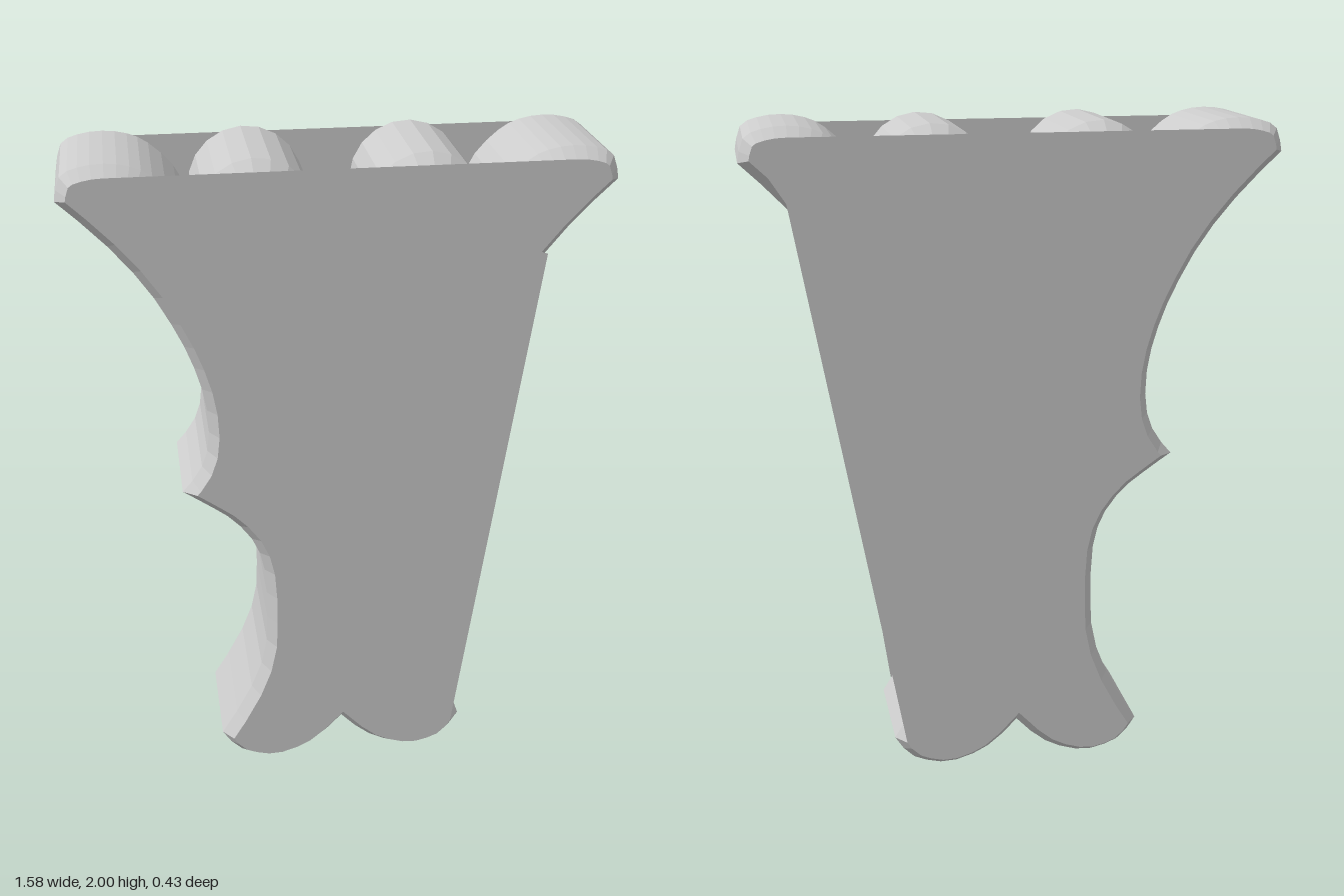
import * as THREE from 'three';

const HALF_DEPTH = 0.213, WALL_DEPTH = 0.17, BEVEL = 0.028;

const curve = (pts, n) =>
  new THREE.SplineCurve(pts.map(([x, y]) => new THREE.Vector2(x, y))).getPoints(n);

// Left half of the outline, from bottom notch, up the side and over the lobes
function halfOutline() {
  const foot = curve([[0, 0.13], [-0.07, 0.06], [-0.14, 0.02], [-0.22, 0], [-0.29, 0.012],
    [-0.345, 0.04], [-0.388, 0.1]], 9);
  const lowerScallop = curve([[-0.388, 0.1], [-0.3, 0.25], [-0.245, 0.4], [-0.235, 0.55], [-0.24, 0.7],
    [-0.27, 0.8], [-0.33, 0.88], [-0.4, 0.935], [-0.48, 0.99]], 14);
  const upperScallop = curve([[-0.48, 0.99], [-0.425, 1.06], [-0.397, 1.15], [-0.4, 1.27], [-0.43, 1.39],
    [-0.48, 1.51], [-0.56, 1.65], [-0.67, 1.785], [-0.788, 1.9]], 14);
  const outerLobe = curve([[-0.788, 1.9], [-0.77, 1.967], [-0.72, 1.992], [-0.65, 2], [-0.58, 1.99],
    [-0.52, 1.96], [-0.45, 1.89], [-0.405, 1.8]], 14);
  const innerLobe = [];
  for (let i = 1; i <= 11; i++) {
    const a = Math.PI * (1.03 - 1.12 * i / 11);
    innerLobe.push(new THREE.Vector2(-0.24 + 0.17 * Math.cos(a), 1.83 + 0.17 * Math.sin(a)));
  }
  const side = [...foot, ...lowerScallop.slice(1), ...upperScallop.slice(1)];
  return {
    points: [...side, ...outerLobe.slice(1), ...innerLobe, new THREE.Vector2(0, 1.66)],
    corner: side.length - 1,
    peak: side.length - 1 + 6,
  };
}

const mirror = (p) => new THREE.Vector2(-p.x, p.y);

// Moves every outline point inward with a limited mitre
function inset(loop, d) {
  const n = loop.length;
  return loop.map((p, i) => {
    const a = p.clone().sub(loop[(i + n - 1) % n]).normalize();
    const b = loop[(i + 1) % n].clone().sub(p).normalize();
    const na = new THREE.Vector2(a.y, -a.x), nb = new THREE.Vector2(b.y, -b.x);
    const m = na.clone().add(nb).normalize();
    return p.clone().addScaledVector(m, d / Math.max(0.6, m.dot(na)));
  });
}

// Strips between consecutive rings, front to back
function bands(rings) {
  const pos = [], index = [], n = rings[0].loop.length;
  rings.forEach(({ loop, z }) => loop.forEach((p) => pos.push(p.x, p.y, z)));
  for (let r = 0; r < rings.length - 1; r++) {
    for (let i = 0; i < n; i++) {
      const j = (i + 1) % n;
      const a = r * n + i, b = r * n + j, c = a + n, d = b + n;
      index.push(a, b, d, a, d, c);
    }
  }
  const g = new THREE.BufferGeometry();
  g.setAttribute('position', new THREE.Float32BufferAttribute(pos, 3));
  g.setIndex(index);
  const flat = g.toNonIndexed();
  flat.computeVertexNormals();
  return flat;
}

export function createModel() {
  const group = new THREE.Group();
  const material = new THREE.MeshStandardMaterial({
    color: 0xcccccc, flatShading: true, side: THREE.DoubleSide,
  });
  const add = (geometry, name) => {
    const mesh = new THREE.Mesh(geometry, material);
    mesh.name = name;
    group.add(mesh);
    return mesh;
  };

  const { points, corner, peak } = halfOutline();
  const outer = [...points, ...points.slice(1, -1).reverse().map(mirror)];
  const inner = inset(outer, BEVEL);

  // Symmetric scalloped rim with bevelled edges
  add(bands([
    { loop: inner, z: HALF_DEPTH }, { loop: outer, z: WALL_DEPTH },
    { loop: outer, z: -WALL_DEPTH }, { loop: inner, z: -HALF_DEPTH },
  ]), 'scallopedRim');

  // Face plates: scalloped on one side, straight across the top and other side
  const plate = (z, cut, name) => {
    const left = inner.slice(0, peak + 1);
    const topRight = inner.slice(corner, peak + 1).reverse().map(mirror);
    const rightShoulder = inner.slice(0, corner).reverse().map(mirror).filter((p) => p.y > cut.y);
    const rightFoot = inner.slice(1, 10).reverse().map(mirror);
    const shape = new THREE.Shape([...left, ...topRight, ...rightShoulder, cut, ...rightFoot]);
    add(new THREE.ShapeGeometry(shape), name).position.z = z;
  };
  plate(HALF_DEPTH, new THREE.Vector2(0.585, 1.7), 'frontPlate');
  plate(-HALF_DEPTH, new THREE.Vector2(0.66, 1.79), 'backPlate');

  return group;
}
